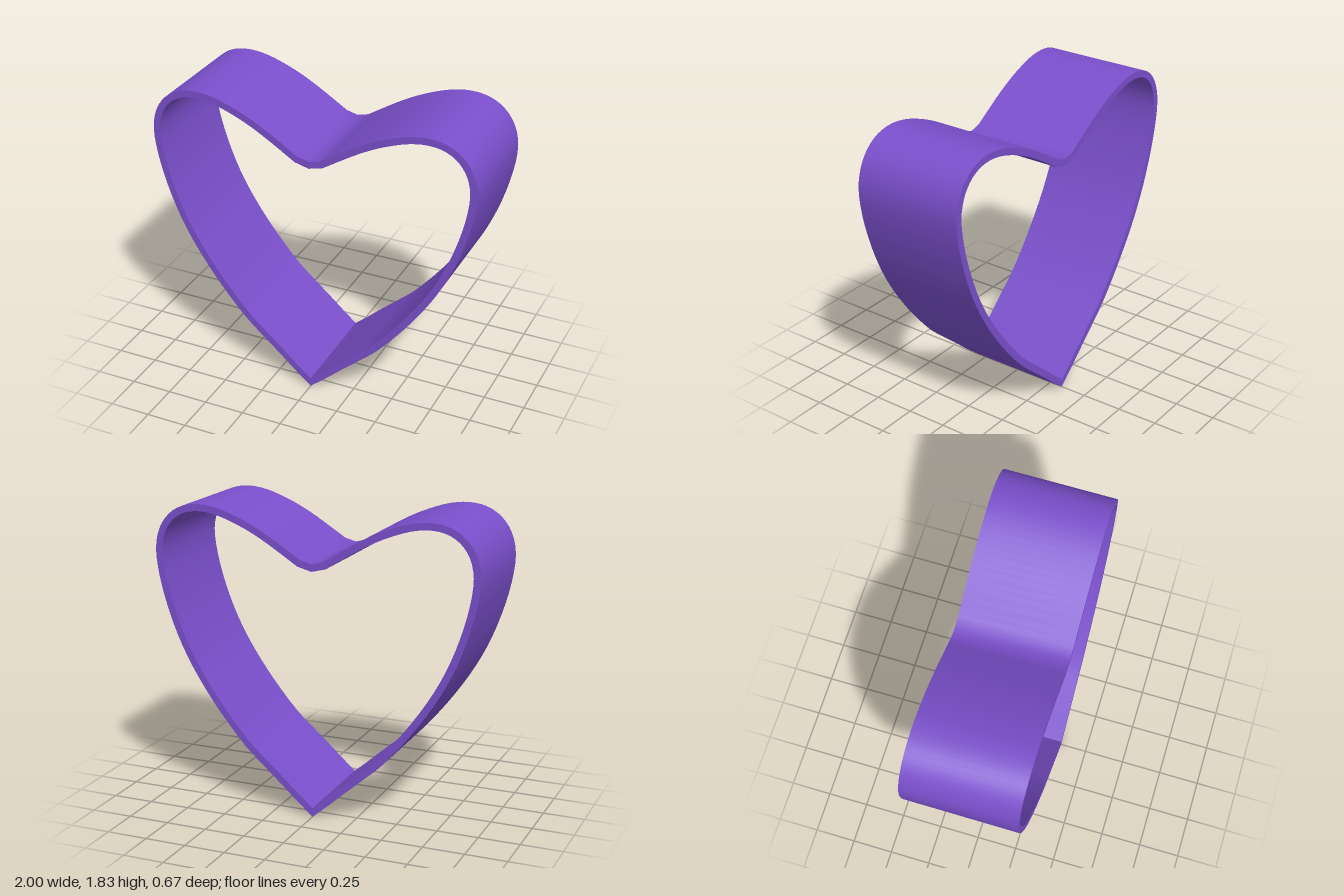
import * as THREE from 'three';
import { toCreasedNormals } from 'three/addons/utils/BufferGeometryUtils.js';

const WALL = 0.042;
const DEPTH = 0.67;

// Right half of the outer outline, from the bottom tip over the lobe to the notch
const HALF = [
  [0, 0], [0.1, 0.085], [0.2, 0.175], [0.32, 0.28], [0.44, 0.39], [0.6, 0.58],
  [0.74, 0.78], [0.845, 0.97], [0.925, 1.17], [0.98, 1.37], [1, 1.54], [0.973, 1.665],
  [0.91, 1.755], [0.82, 1.81], [0.71, 1.828], [0.59, 1.813], [0.46, 1.77],
  [0.335, 1.713], [0.21, 1.641], [0.07, 1.553],
];

// Offset a closed counter-clockwise outline inward with mitred corners
function inset(points, distance) {
  const n = points.length;
  return points.map((p, i) => {
    const a = p.clone().sub(points[(i + n - 1) % n]).normalize();
    const b = points[(i + 1) % n].clone().sub(p).normalize();
    const normal = new THREE.Vector2(-a.y - b.y, a.x + b.x).normalize();
    const cosHalf = normal.dot(new THREE.Vector2(-a.y, a.x));
    return p.clone().addScaledVector(normal, distance / cosHalf);
  });
}

export function createModel() {
  const group = new THREE.Group();

  // Smooth half, a small blunt notch, then the mirrored half
  const half = new THREE.SplineCurve(HALF.map(([x, y]) => new THREE.Vector2(x, y))).getPoints(57);
  const mirrored = half.slice(1).reverse().map((p) => new THREE.Vector2(-p.x, p.y));
  const outer = [...half, new THREE.Vector2(0, 1.535), ...mirrored];

  // Heart-shaped band, open front and back
  const shape = new THREE.Shape(outer);
  shape.holes.push(new THREE.Path(inset(outer, WALL).reverse()));
  const geometry = new THREE.ExtrudeGeometry(shape, { depth: DEPTH, bevelEnabled: false });
  geometry.translate(0, 0, -DEPTH / 2);

  const band = new THREE.Mesh(
    toCreasedNormals(geometry, 0.6),
    new THREE.MeshStandardMaterial({ color: 0x7a4fcb })
  );
  band.name = 'heartBand';
  group.add(band);
  return group;
}
